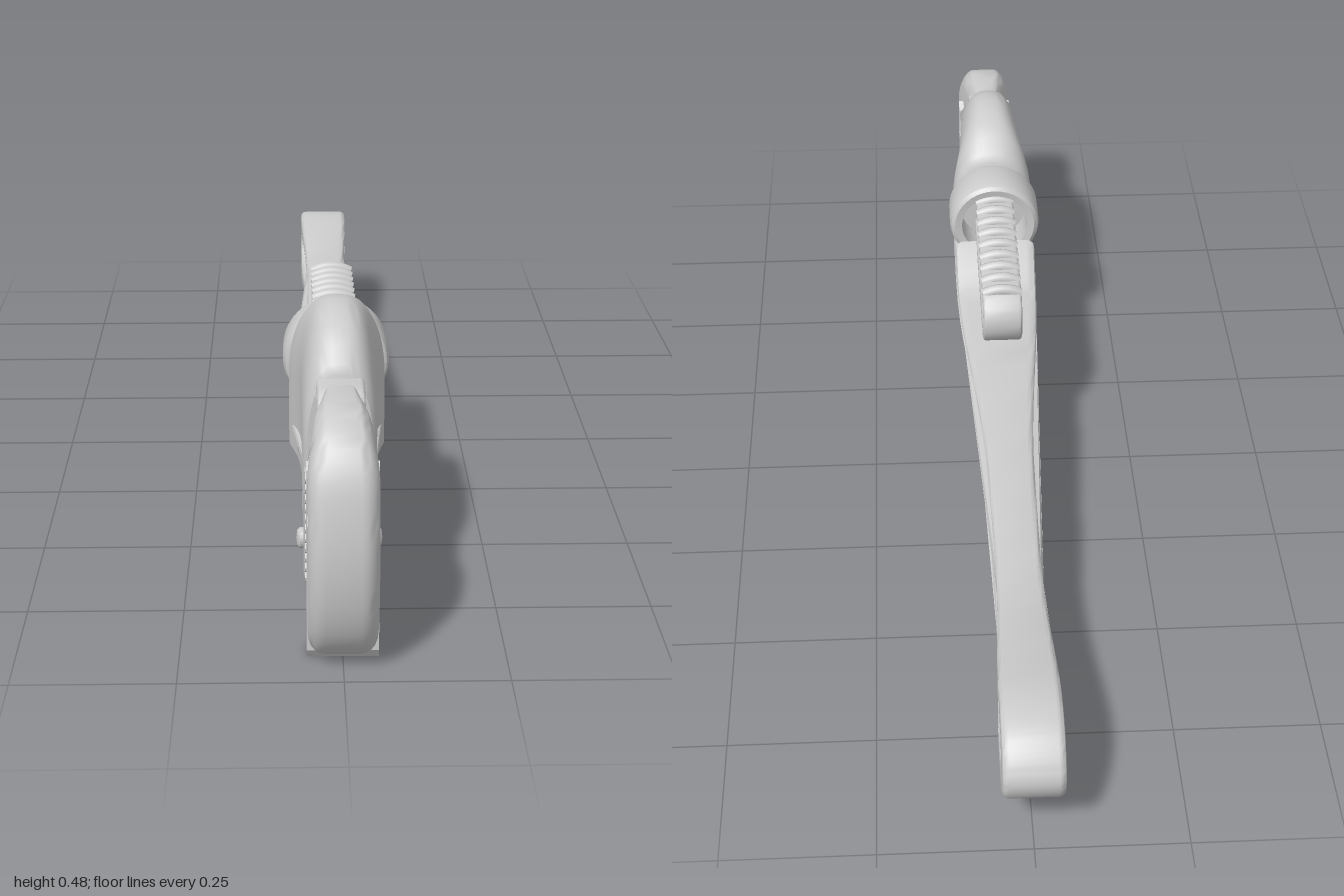
import * as THREE from 'three';
import { toCreasedNormals, mergeVertices } from 'three/addons/utils/BufferGeometryUtils.js';

const material = new THREE.MeshStandardMaterial({ color: 0xcccccc });
const smooth = THREE.MathUtils.smoothstep;
const lerp = THREE.MathUtils.lerp;

// Smooth curve through [z, y] points
function spline(points, count, closed = false) {
  const curve = new THREE.CatmullRomCurve3(points.map(([z, y]) => new THREE.Vector3(z, y, 0)), closed);
  const list = curve.getPoints(count).map(p => new THREE.Vector2(p.x, p.y));
  if (closed) list.pop();
  return list;
}
const corners = points => points.map(([z, y]) => new THREE.Vector2(z, y));

// Stadium outline between two centres
function stadium(z0, y0, z1, y1, r, n = 10) {
  const pts = [];
  for (let i = 0; i <= n; i++) {
    const a = Math.PI / 2 + (Math.PI * i) / n;
    pts.push(new THREE.Vector2(z0 + r * Math.cos(a), y0 + r * Math.sin(a)));
  }
  for (let i = 0; i <= n; i++) {
    const a = -Math.PI / 2 + (Math.PI * i) / n;
    pts.push(new THREE.Vector2(z1 + r * Math.cos(a), y1 + r * Math.sin(a)));
  }
  return pts;
}

// Side profile extruded across x; halfWidth(z, y) sets the local thickness
function sidePart(name, outline, halfWidth, { hole, bevel = 0, bevelDepth = 0.25, segments = 3, crease = 0.6 } = {}) {
  const shape = new THREE.Shape(outline);
  if (hole) shape.holes.push(new THREE.Path(hole));
  const depth = bevel ? 2 - 2 * bevelDepth : 2;
  let geometry = new THREE.ExtrudeGeometry(shape, {
    depth, bevelEnabled: bevel > 0, bevelSize: bevel, bevelOffset: -bevel,
    bevelThickness: bevelDepth, bevelSegments: segments,
  });
  geometry.translate(0, 0, -depth / 2).rotateY(-Math.PI / 2);
  const p = geometry.attributes.position;
  for (let i = 0; i < p.count; i++) p.setX(i, p.getX(i) * halfWidth(p.getZ(i), p.getY(i)));
  geometry = toCreasedNormals(geometry, crease);
  return named(name, geometry);
}

function named(name, geometry) {
  const mesh = new THREE.Mesh(geometry, material);
  mesh.name = name;
  return mesh;
}

// Saw-toothed edge from a to b, teeth pushed along z by `reach`
function sawEdge(a, b, n, reach) {
  const pts = [];
  for (let i = 0; i < n; i++) {
    for (const [f, r] of [[0, 0], [0.35, reach], [0.65, reach]]) {
      const t = (i + f) / n;
      pts.push([lerp(a[0], b[0], t) + r, lerp(a[1], b[1], t)]);
    }
  }
  pts.push(b);
  return pts;
}

// Handle thickness: slim towards the back, with a wide upper flange near the nut
function handleWidth(z, y) {
  const base = z > -0.5 ? lerp(0.04, 0.058, smooth(z, -0.5, 0.4)) : lerp(0.04, 0.05, smooth(-z, 0.55, 0.9));
  const bump = smooth(z, -0.25, 0.3) * (1 - smooth(z, 0.46, 0.6));
  return base + 0.022 * bump * smooth(y, 0.12, 0.18);
}

// Domed housing lofted from arched sections [z, halfWidth, top]
function housingGeometry() {
  const sections = [[0.465, 0.074, 0.405], [0.475, 0.08, 0.42], [0.5, 0.08, 0.445], [0.53, 0.073, 0.461],
    [0.565, 0.066, 0.471], [0.6, 0.062, 0.476], [0.64, 0.06, 0.472], [0.68, 0.06, 0.458], [0.715, 0.059, 0.435],
    [0.735, 0.057, 0.41], [0.742, 0.053, 0.395]];
  const n = 24, base = 0.19, pos = [], idx = [];
  for (const [z, w, top] of sections) {
    const spring = top - 0.14;
    pos.push(w, base, z);
    for (let i = 0; i <= n; i++) {
      const a = (Math.PI * i) / n, c = Math.cos(a);
      pos.push(w * Math.sign(c) * Math.abs(c) ** 0.75, spring + (top - spring) * Math.sin(a) ** 0.9, z);
    }
    pos.push(-w, base, z);
  }
  const ring = n + 3, last = (sections.length - 1) * ring;
  for (let s = 0; s < sections.length - 1; s++) {
    for (let i = 0; i < ring; i++) {
      const j = (i + 1) % ring, a = s * ring + i, b = s * ring + j;
      idx.push(a, b, a + ring, b, b + ring, a + ring);
    }
  }
  for (let i = 1; i < ring - 1; i++) idx.push(0, i + 1, i, last, last + i, last + i + 1);
  const g = new THREE.BufferGeometry();
  g.setAttribute('position', new THREE.Float32BufferAttribute(pos, 3));
  g.setIndex(idx);
  return toCreasedNormals(mergeVertices(g), 0.7);
}

export function createModel() {
  const model = new THREE.Group();
  model.name = 'pipeWrench';

  // Handle: I-beam flanges around a long slot that opens into the hanging eye
  const outline = [
    ...corners([[0.705, 0.03], [0.74, 0.25], [0.47, 0.235], [0.37, 0.23], [0.36, 0.285], [0.335, 0.275]]),
    ...spline([[0.3, 0.25], [0.26, 0.229], [0.2, 0.22], [0, 0.212], [-0.3, 0.2], [-0.6, 0.19], [-0.75, 0.206],
      [-0.88, 0.22], [-0.95, 0.205], [-0.988, 0.172], [-1, 0.14], [-0.988, 0.105], [-0.95, 0.073], [-0.89, 0.06],
      [-0.78, 0.068], [-0.6, 0.09], [-0.3, 0.082], [0, 0.075], [0.3, 0.067], [0.5, 0.055], [0.62, 0.042]], 90),
  ];
  const slot = spline([[0.6, 0.168], [0.57, 0.186], [0.5, 0.187], [0.3, 0.184], [0, 0.178], [-0.3, 0.171],
    [-0.6, 0.163], [-0.73, 0.17], [-0.85, 0.178], [-0.91, 0.167], [-0.93, 0.14], [-0.91, 0.113], [-0.85, 0.102],
    [-0.73, 0.108], [-0.6, 0.117], [-0.3, 0.111], [0, 0.105], [0.3, 0.098], [0.5, 0.093], [0.57, 0.094],
    [0.6, 0.112], [0.61, 0.14]], 100, true);
  model.add(sidePart('handle', outline, handleWidth, { hole: slot, bevel: 0.009, bevelDepth: 0.22 }));
  const web = corners([[0.63, 0.195], [0.3, 0.194], [0, 0.188], [-0.3, 0.181], [-0.6, 0.172], [-0.76, 0.178],
    [-0.73, 0.162], [-0.715, 0.14], [-0.73, 0.118], [-0.76, 0.1], [-0.6, 0.108], [-0.3, 0.102], [0, 0.096],
    [0.3, 0.089], [0.63, 0.085]]);
  model.add(sidePart('handleWeb', web, z => 0.5 * handleWidth(z, 0)));

  model.add(named('housing', housingGeometry()));

  // Fixed lower jaw with teeth facing forward
  const heel = sawEdge([0.72, 0.035], [0.765, 0.24], 11, 0.01);
  model.add(sidePart('heelJaw', corners([...heel, [0.69, 0.24], [0.69, 0.035]]), () => 0.056, { crease: 0.3 }));

  // Hook jaw body, slimmer at the spine and where it meets the shank
  const hook = [
    ...corners([[0.885, 0.005], [0.882, 0.22]]),
    ...spline([[0.878, 0.25], [0.865, 0.266], [0.84, 0.27]], 6),
    ...corners([[0.785, 0.27], [0.785, 0.394]]),
    ...spline([[0.84, 0.396], [0.89, 0.392], [0.94, 0.37], [0.975, 0.325], [0.993, 0.26], [1, 0.18], [0.99, 0.1],
      [0.967, 0.045], [0.935, 0.014], [0.9, 0.002]], 30),
  ];
  const hookWidth = (z, y) => lerp(0.038, 0.054, smooth(z, 0.78, 0.88)) * (1 - 0.25 * smooth(y, 0.3, 0.4));
  model.add(sidePart('hookJaw', hook, hookWidth, { bevel: 0.032, bevelDepth: 0.5, segments: 5, crease: 0.8 }));
  const teeth = sawEdge([0.885, 0.001], [0.88, 0.25], 13, -0.01);
  const insert = corners([...teeth, [0.885, 0.3], [0.9, 0.315], [0.915, 0.305], [0.922, 0.26], [0.925, 0.015],
    [0.915, 0]]);
  model.add(sidePart('hookTeeth', insert, () => 0.055, { crease: 0.3 }));

  // Shank running through the housing, with a recessed slot on both sides
  const shank = new THREE.Group();
  shank.name = 'shank';
  shank.add(sidePart('shankFrame', stadium(0.065, 0.311, 0.78, 0.335, 0.055), () => 0.037,
    { hole: stadium(0.06, 0.311, 0.76, 0.335, 0.03), bevel: 0.006, bevelDepth: 0.15 }));
  shank.add(sidePart('shankWeb', stadium(0.06, 0.311, 0.76, 0.335, 0.036), () => 0.024));
  const threadGeometry = new THREE.TorusGeometry(0.07, 0.011, 8, 10, 1);
  threadGeometry.rotateZ(Math.PI / 2 - 0.5);
  for (let i = 0; i < 9; i++) {
    const z = 0.055 + i * 0.039, axis = 0.311 + 0.0336 * (z - 0.065);
    for (const side of [1, -1]) {
      const thread = named('thread', threadGeometry);
      thread.position.set(0, axis - side * 0.014, z + (side < 0 ? 0.0195 : 0));
      if (side < 0) thread.rotation.z = Math.PI;
      shank.add(thread);
    }
  }
  model.add(shank);

  // Adjusting nut: hollow ring with chamfered rims, and its neck
  const ring = corners([[0.066, 0.07], [0.066, 0], [0.08, -0.002], [0.087, 0.004], [0.09, 0.014], [0.09, 0.08],
    [0.086, 0.09], [0.078, 0.094], [0.05, 0.094], [0.03, 0.07], [0.066, 0.07]]);
  const nut = named('adjustingNut', toCreasedNormals(new THREE.LatheGeometry(ring, 40).rotateX(Math.PI / 2), 0.5));
  nut.position.set(0, 0.32, 0.364);
  model.add(nut);
  const neck = named('nutNeck', new THREE.CylinderGeometry(0.074, 0.074, 0.05, 32).rotateX(Math.PI / 2));
  neck.position.set(0, 0.322, 0.458);
  model.add(neck);

  // Domed pin ends holding the heel jaw
  for (const side of [1, -1]) {
    const profile = corners([[0.017, 0], [0.017, 0.014], [0.013, 0.018], [0, 0.02]]);
    const pin = named('jawPin', toCreasedNormals(new THREE.LatheGeometry(profile, 20), 0.6));
    pin.rotation.z = -side * Math.PI / 2;
    pin.position.set(side * 0.05, 0.097, 0.685);
    model.add(pin);
  }
  return model;
}
